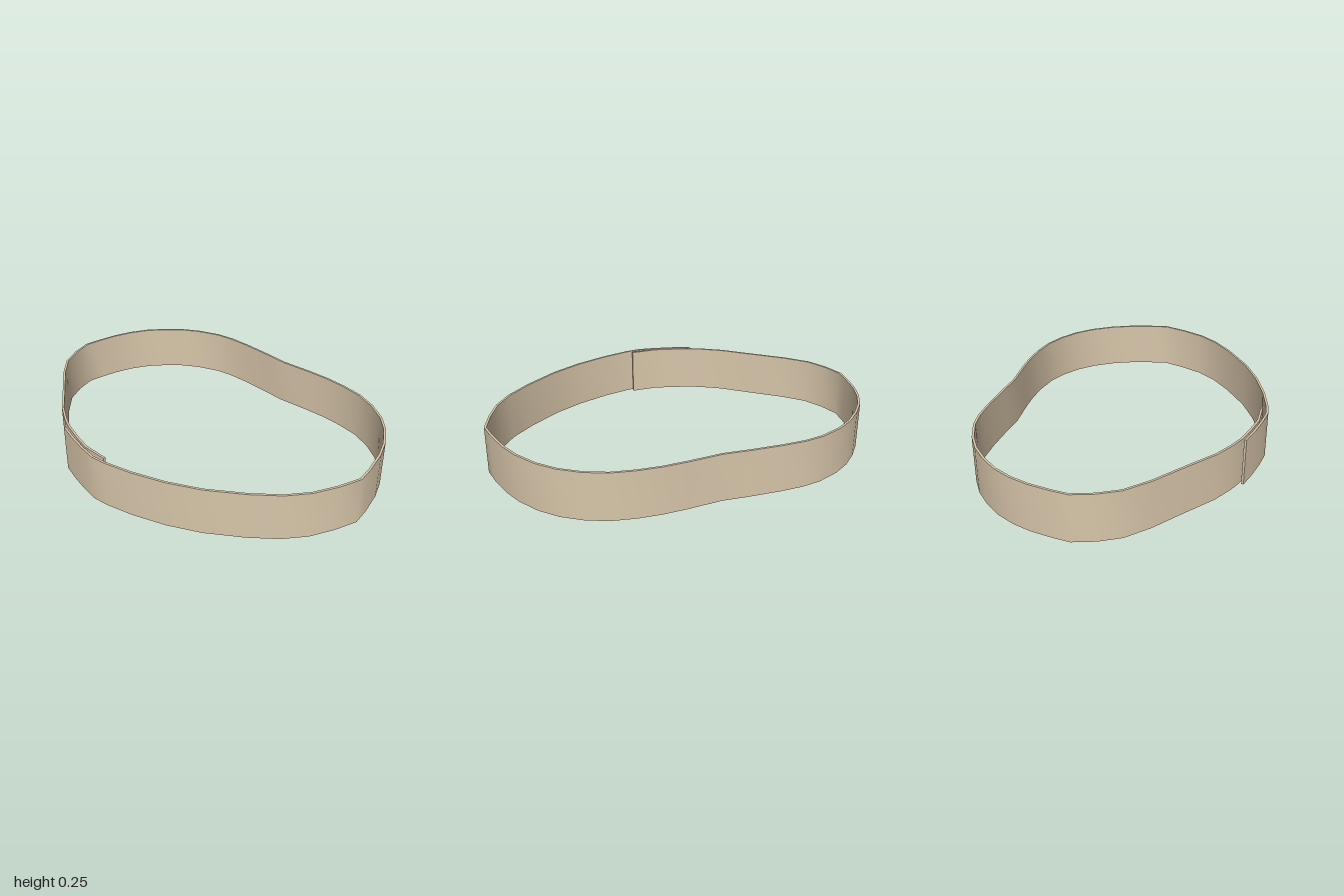
import * as THREE from 'three';
import { toCreasedNormals } from 'three/addons/utils/BufferGeometryUtils.js';

const HEIGHT = 0.25;
const THICKNESS = 0.012;

// Centre line of the strap seen from above, as [x, z], from the outer end to the tucked inner end
const path = [
  [-0.335, 0.637], [-0.24, 0.665], [-0.13, 0.69], [-0.03, 0.705], [0.05, 0.696], [0.2, 0.66],
  [0.37, 0.6], [0.53, 0.52], [0.7, 0.4], [0.82, 0.295], [0.9, 0.19], [0.955, 0.07],
  [0.994, -0.05], [0.977, -0.15], [0.942, -0.28], [0.9, -0.38], [0.83, -0.49], [0.75, -0.572],
  [0.65, -0.638], [0.54, -0.683], [0.42, -0.703], [0.3, -0.71], [0.18, -0.705], [0, -0.69],
  [-0.13, -0.699], [-0.3, -0.705], [-0.42, -0.702], [-0.52, -0.685], [-0.64, -0.637], [-0.73, -0.58],
  [-0.81, -0.505], [-0.88, -0.42], [-0.93, -0.325], [-0.962, -0.23], [-0.983, -0.12], [-0.994, -0.03],
  [-0.96, 0.08], [-0.905, 0.185], [-0.8, 0.288], [-0.65, 0.405], [-0.5, 0.525], [-0.4, 0.583],
  [-0.33, 0.615], [-0.22, 0.648], [-0.12, 0.672], [0.02, 0.672],
].map(([x, z]) => new THREE.Vector2(x, -z));

// Offset the centre line sideways at each point
function offsetLine(points, distance) {
  return points.map((p, i) => {
    const before = points[Math.max(i - 1, 0)];
    const after = points[Math.min(i + 1, points.length - 1)];
    const t = after.clone().sub(before).normalize();
    return new THREE.Vector2(p.x + t.y * distance, p.y - t.x * distance);
  });
}

export function createModel() {
  const model = new THREE.Group();
  model.name = 'strapLoop';
  const fabric = new THREE.MeshStandardMaterial({ color: 0xd8c6aa });
  fabric.name = 'tan fabric';

  // Thin upright strap with overlapping ends
  const outer = offsetLine(path, THICKNESS / 2);
  const inner = offsetLine(path, -THICKNESS / 2).reverse();
  const outline = new THREE.Shape([...outer, ...inner]);
  const band = new THREE.ExtrudeGeometry(outline, { depth: HEIGHT, bevelEnabled: false });
  band.rotateX(-Math.PI / 2);

  const strap = new THREE.Mesh(toCreasedNormals(band, 0.7), fabric);
  strap.name = 'strap';
  model.add(strap);
  return model;
}
